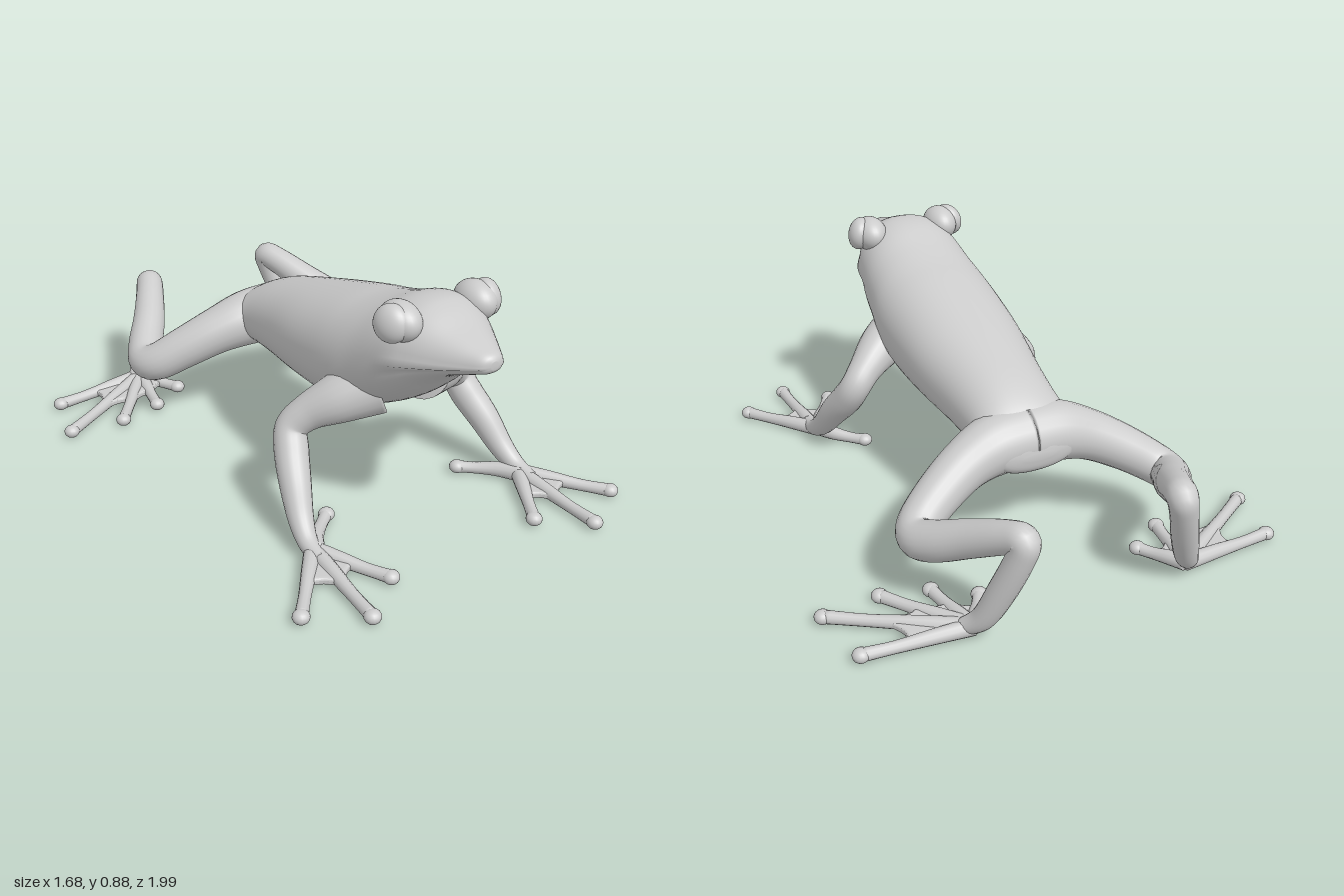
import * as THREE from 'three';

const material = new THREE.MeshStandardMaterial({ color: 0xcccccc, roughness: 0.7 });

function add(parent, name, geometry) {
  const mesh = new THREE.Mesh(geometry, material);
  mesh.name = name;
  parent.add(mesh);
  return mesh;
}

// Catmull-Rom interpolation of rows of numbers
function smooth(rows, steps) {
  const out = [];
  const row = (i) => rows[Math.min(rows.length - 1, Math.max(0, i))];
  for (let i = 0; i < rows.length - 1; i++) {
    for (let k = 0; k < steps; k++) {
      const t = k / steps;
      out.push(rows[i].map((b, c) => {
        const a = row(i - 1)[c], d = row(i + 1)[c], e = row(i + 2)[c];
        return b + 0.5 * t * (d - a + t * (2 * a - 5 * b + 4 * d - e + t * (3 * (b - d) + e - a)));
      }));
    }
  }
  out.push(rows[rows.length - 1]);
  return out;
}

// Closed skin over a series of rings, with a fan at either end
function loft(rings) {
  const n = rings[0].length, last = rings.length - 1;
  const points = rings.flat(), index = [];
  for (let i = 0; i < last; i++) {
    for (let j = 0; j < n; j++) {
      const a = i * n + j, b = i * n + (j + 1) % n;
      index.push(a, b, a + n, b, b + n, a + n);
    }
  }
  for (const i of [0, last]) {
    const centre = new THREE.Vector3();
    rings[i].forEach((p) => centre.addScaledVector(p, 1 / n));
    const c = points.push(centre) - 1;
    for (let j = 0; j < n; j++) {
      const a = i * n + j, b = i * n + (j + 1) % n;
      if (i === 0) index.push(c, b, a);
      else index.push(c, a, b);
    }
  }
  const geometry = new THREE.BufferGeometry().setFromPoints(points);
  geometry.setIndex(index);
  geometry.computeVertexNormals();
  return geometry;
}

// Round limb through rows of [x, y, z, radius]
function limb(rows, sides = 20, steps = 7) {
  const path = smooth(rows, steps);
  const at = path.map((p) => new THREE.Vector3(p[0], p[1], p[2]));
  const normal = new THREE.Vector3();
  let before = null;
  return loft(path.map((p, i) => {
    const tangent = at[Math.min(i + 1, at.length - 1)].clone().sub(at[Math.max(i - 1, 0)]).normalize();
    if (before) normal.applyQuaternion(new THREE.Quaternion().setFromUnitVectors(before, tangent));
    else normal.set(0, 1, 0).cross(tangent).normalize();
    before = tangent;
    const side = tangent.clone().cross(normal);
    return Array.from({ length: sides }, (_, j) => {
      const a = (j / sides) * Math.PI * 2;
      return at[i].clone().addScaledVector(normal, Math.cos(a) * p[3]).addScaledVector(side, Math.sin(a) * p[3]);
    });
  }));
}

// Head and trunk: [z, top, bottom, widest height, half width, lip strength]
function bodyGeometry() {
  const sections = smooth([
    [0.925, 0.75, 0.722, 0.733, 0.014, 0.3],
    [0.91, 0.768, 0.705, 0.727, 0.045, 1],
    [0.86, 0.785, 0.685, 0.714, 0.08, 1],
    [0.78, 0.812, 0.65, 0.697, 0.13, 1],
    [0.70, 0.845, 0.59, 0.682, 0.175, 1],
    [0.64, 0.858, 0.53, 0.668, 0.2, 0.8],
    [0.56, 0.848, 0.465, 0.64, 0.213, 0],
    [0.46, 0.808, 0.405, 0.6, 0.225, 0],
    [0.36, 0.775, 0.36, 0.56, 0.238, 0],
    [0.24, 0.745, 0.33, 0.53, 0.238, 0],
    [0.05, 0.69, 0.32, 0.50, 0.225, 0],
    [-0.15, 0.63, 0.315, 0.46, 0.195, 0],
    [-0.30, 0.58, 0.31, 0.43, 0.18, 0],
    [-0.40, 0.53, 0.30, 0.41, 0.18, 0],
    [-0.47, 0.47, 0.305, 0.40, 0.17, 0],
    [-0.505, 0.43, 0.33, 0.39, 0.14, 0],
    [-0.515, 0.39, 0.37, 0.38, 0.05, 0],
  ], 5);
  const sides = 48;
  const bulge = (v) => Math.sign(v) * Math.abs(v) ** 0.92;
  return loft(sections.map(([z, top, bottom, mid, width, lip]) =>
    Array.from({ length: sides }, (_, j) => {
      const a = (j / sides) * Math.PI * 2, up = -Math.sin(a);
      // the upper lip stands out over the lower jaw
      const onLip = j % (sides / 2) === 0;
      const w = width * (1 + lip * (onLip ? 0.04 : up < 0 ? -0.08 : 0));
      const y = onLip ? mid : mid + bulge(up) * (up > 0 ? top - mid : mid - bottom);
      return new THREE.Vector3(w * bulge(Math.cos(a)), y, z);
    })));
}

// Spread foot: thin web, slender toes and round toe pads
function foot(parent, name, s, [bx, bz], tips, web, gap) {
  const group = new THREE.Group();
  group.name = name;
  parent.add(group);
  const along = ([x, z], t) => [s * (bx + (x - bx) * t), bz + (z - bz) * t];
  const shape = new THREE.Shape();
  shape.moveTo(s * bx, bz);
  tips.forEach((tip, i) => {
    const end = along(tip, web);
    if (i === 0) return shape.lineTo(...end);
    const p = tips[i - 1];
    shape.quadraticCurveTo(...along([(p[0] + tip[0]) / 2, (p[1] + tip[1]) / 2], gap), ...end);
  });
  shape.closePath();
  const webbing = new THREE.ExtrudeGeometry(shape, {
    depth: 0.01, bevelSize: 0.012, bevelThickness: 0.008, bevelSegments: 3, curveSegments: 8,
  });
  add(group, 'webbing', webbing.rotateX(Math.PI / 2).translate(0, 0.031, 0));
  for (const tip of tips) {
    const point = (t, y, r) => { const [x, z] = along(tip, t); return [x, y, z, r]; };
    add(group, 'toe', limb([
      point(0, 0.034, 0.03), point(0.35, 0.03, 0.026), point(0.7, 0.024, 0.021), point(1, 0.024, 0.023),
    ], 12, 4));
    const pad = add(group, 'toePad', new THREE.SphereGeometry(0.029, 16, 12));
    pad.scale.y = 0.82;
    pad.position.set(s * tip[0], 0.024, tip[1]);
  }
}

export function createModel() {
  const frog = new THREE.Group();
  frog.name = 'frog';
  add(frog, 'body', bodyGeometry());

  for (const s of [1, -1]) {
    const side = s > 0 ? 'left' : 'right';
    const mirror = (rows) => rows.map(([x, y, z, r]) => [s * x, y, z, r]);

    // brow and eyeball
    const brow = add(frog, side + 'Brow', new THREE.SphereGeometry(1, 32, 20));
    brow.scale.set(0.062, 0.066, 0.085);
    brow.position.set(s * 0.148, 0.812, 0.64);
    const eye = add(frog, side + 'Eye', new THREE.SphereGeometry(1, 32, 20));
    eye.scale.set(0.044, 0.063, 0.063);
    eye.rotation.set(0, -s * 0.4, s * 0.2);
    eye.position.set(s * 0.188, 0.816, 0.65);

    // front leg from shoulder over the elbow to the wrist
    add(frog, side + 'FrontLeg', limb(mirror([
      [0.10, 0.49, 0.44, 0.11], [0.21, 0.445, 0.395, 0.088], [0.30, 0.39, 0.34, 0.064],
      [0.352, 0.335, 0.318, 0.058], [0.376, 0.27, 0.355, 0.06], [0.405, 0.19, 0.425, 0.055],
      [0.43, 0.1, 0.5, 0.044], [0.445, 0.05, 0.57, 0.034], [0.45, 0.034, 0.65, 0.026],
    ])));
    foot(frog, side + 'FrontFoot', s, [0.44, 0.59],
      [[0.645, 0.85], [0.46, 0.966], [0.30, 0.838]], 0.5, 0.42);
    add(frog, side + 'Thumb', limb(mirror([
      [0.44, 0.035, 0.61, 0.032], [0.39, 0.03, 0.53, 0.027], [0.33, 0.024, 0.47, 0.021], [0.285, 0.024, 0.43, 0.023],
    ]), 12, 4));
    const pad = add(frog, side + 'ThumbPad', new THREE.SphereGeometry(0.029, 16, 12));
    pad.scale.y = 0.82;
    pad.position.set(s * 0.285, 0.024, 0.43);

    // hind leg from hip over knee and ankle to the foot
    add(frog, side + 'HindLeg', limb(mirror([
      [0, 0.405, -0.40, 0.113], [0.12, 0.4, -0.405, 0.107], [0.24, 0.365, -0.43, 0.09],
      [0.36, 0.305, -0.475, 0.08], [0.45, 0.25, -0.525, 0.073], [0.475, 0.237, -0.585, 0.068],
      [0.44, 0.262, -0.66, 0.068], [0.375, 0.315, -0.76, 0.063], [0.31, 0.375, -0.88, 0.055],
      [0.283, 0.39, -0.942, 0.052], [0.295, 0.33, -0.942, 0.048], [0.335, 0.2, -0.905, 0.047],
      [0.38, 0.085, -0.865, 0.04], [0.43, 0.035, -0.82, 0.028],
    ])));
    foot(frog, side + 'HindFoot', s, [0.40, -0.835],
      [[0.765, -0.8], [0.81, -0.572], [0.605, -0.548], [0.44, -0.59], [0.305, -0.68]], 0.58, 0.42);
  }
  return frog;
}
